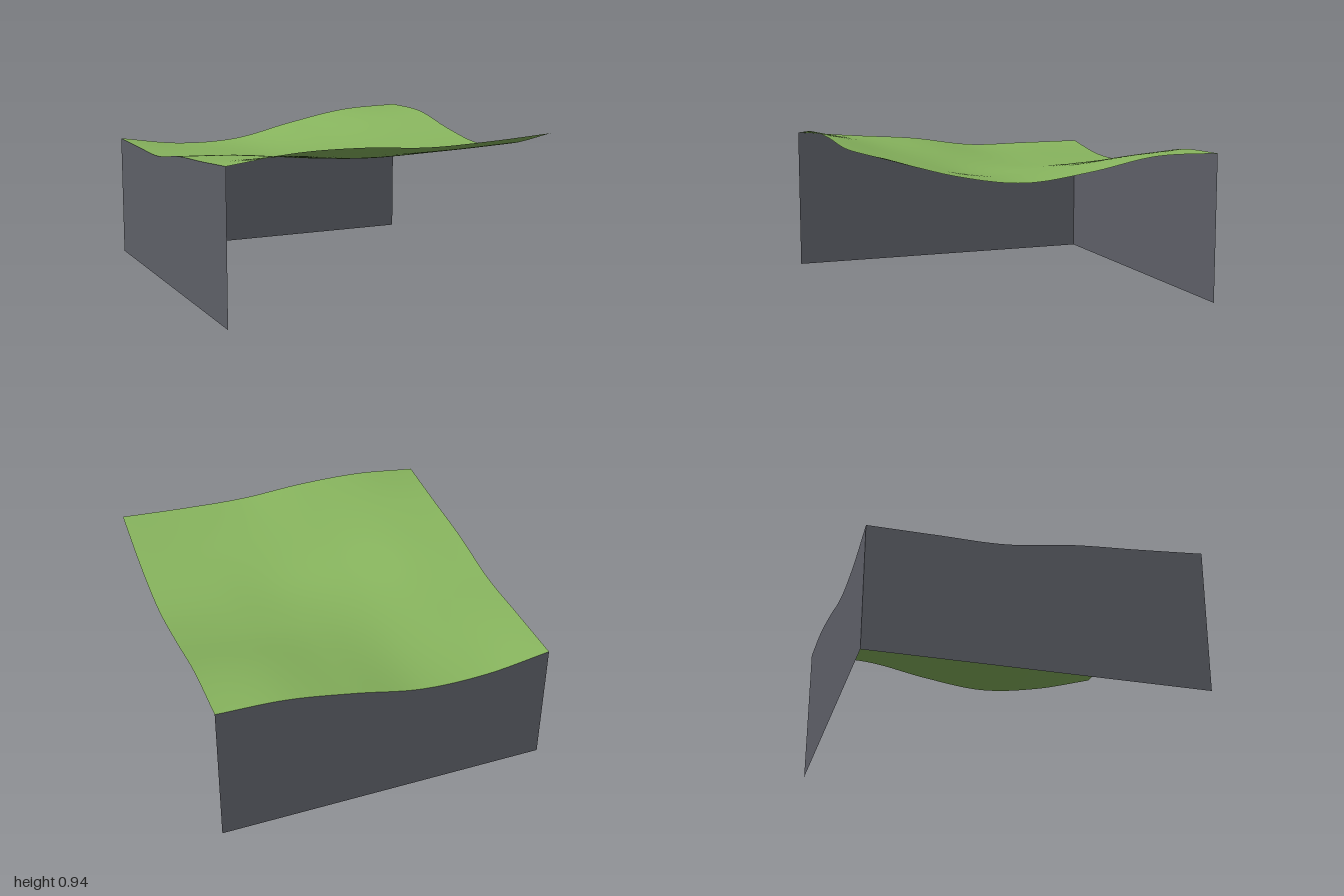
import * as THREE from 'three';

// Terrain heights every 0.4 units: rows run from z = -1 to 1, columns from x = -1 to 1
const HEIGHTS = [
  [0.757, 0.702, 0.710, 0.795, 0.865, 0.882],
  [0.757, 0.720, 0.708, 0.765, 0.835, 0.880],
  [0.760, 0.740, 0.716, 0.733, 0.770, 0.810],
  [0.818, 0.800, 0.753, 0.729, 0.750, 0.768],
  [0.850, 0.845, 0.825, 0.807, 0.810, 0.825],
  [0.885, 0.930, 0.932, 0.908, 0.918, 0.940],
];
const SEGMENTS = 50;

// Smooth curve through evenly spaced values, t from -1 to 1
function smooth(values, t) {
  const last = values.length - 1;
  const p = THREE.MathUtils.clamp((t + 1) / 2, 0, 1) * last;
  const i = Math.min(Math.floor(p), last - 1);
  const f = p - i;
  const b = values[i], c = values[i + 1];
  const a = i > 0 ? values[i - 1] : 2 * b - c;
  const d = i + 2 <= last ? values[i + 2] : 2 * c - b;
  return b + 0.5 * f * (c - a + f * (2 * a - 5 * b + 4 * c - d + f * (3 * (b - c) + d - a)));
}

const heightAt = (x, z) => smooth(HEIGHTS.map((row) => smooth(row, x)), z);

// Rolling ground sheet
function makeGround(material) {
  const geometry = new THREE.PlaneGeometry(2, 2, SEGMENTS, SEGMENTS).rotateX(-Math.PI / 2);
  const pos = geometry.attributes.position;
  for (let i = 0; i < pos.count; i++) pos.setY(i, heightAt(pos.getX(i), pos.getZ(i)));
  geometry.computeVertexNormals();
  const mesh = new THREE.Mesh(geometry, material);
  mesh.name = 'grassGround';
  return mesh;
}

// Upright sheet whose top follows the ground edge
function makeWall(name, angle, material) {
  const geometry = new THREE.PlaneGeometry(2, 2, SEGMENTS, 1).translate(0, 0, 1).rotateY(angle);
  const pos = geometry.attributes.position;
  for (let i = 0; i < pos.count; i++) {
    pos.setY(i, pos.getY(i) > 0 ? heightAt(pos.getX(i), pos.getZ(i)) : 0);
  }
  const mesh = new THREE.Mesh(geometry, material);
  mesh.name = name;
  return mesh;
}

export function createModel() {
  const grass = new THREE.MeshStandardMaterial({ color: 0x88b55e, side: THREE.DoubleSide });
  grass.name = 'grass green';
  const stone = new THREE.MeshStandardMaterial({ color: 0x5e6068, side: THREE.DoubleSide });
  stone.name = 'stone grey';

  const model = new THREE.Group();
  model.name = 'terrainTile';
  model.add(
    makeGround(grass),
    makeWall('backWall', Math.PI, stone),
    makeWall('rightWall', -Math.PI / 2, stone),
  );
  return model;
}
